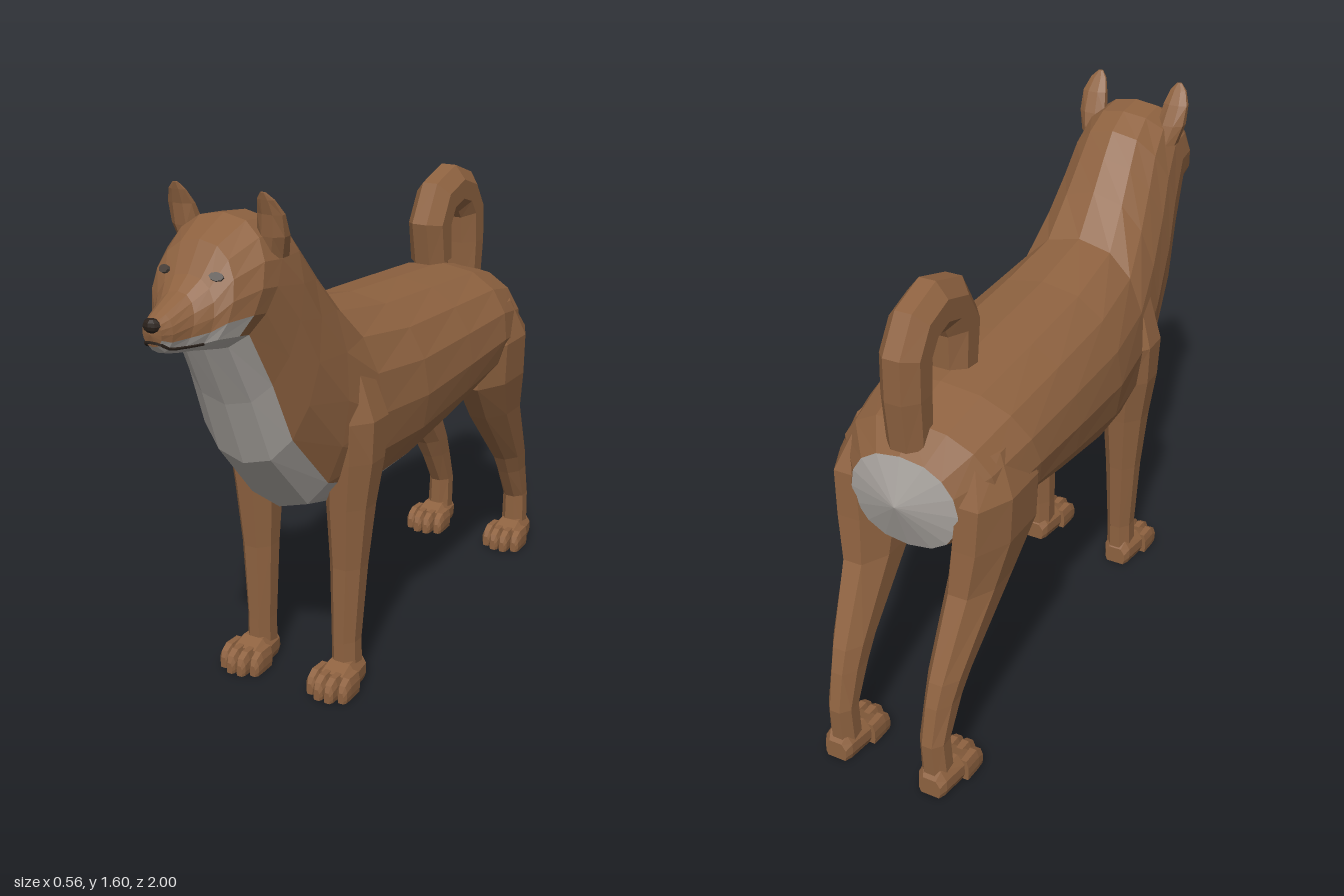
import * as THREE from 'three';

const mat = (name, color, opts = {}) => {
  const m = new THREE.MeshStandardMaterial({ color, flatShading: true, ...opts });
  m.name = name;
  return m;
};
const V = (x, y, z) => new THREE.Vector3(x, y, z);

// Skin a list of equal-length rings; pick(i, j) gives the material index of each quad,
// caps are [centre, material index] for the first and last ring.
function loft(name, rings, mats, pick = () => 0, caps = []) {
  const tris = mats.map(() => []);
  const n = rings[0].length, last = rings.length - 1;
  for (let i = 0; i < last; i++) {
    for (let j = 0; j < n; j++) {
      const k = (j + 1) % n, a = rings[i][j], b = rings[i][k], c = rings[i + 1][k], d = rings[i + 1][j];
      tris[pick(i, j)].push([a, b, c], [a, c, d]);
    }
  }
  [0, last].forEach((r, e) => {
    const ring = rings[r];
    const centre = caps[e]?.[0] ?? ring.reduce((s, p) => s.add(p), V(0, 0, 0)).divideScalar(n);
    for (let j = 0; j < n; j++) {
      const a = ring[j], b = ring[(j + 1) % n];
      tris[caps[e]?.[1] ?? 0].push(e ? [a, b, centre] : [b, a, centre]);
    }
  });
  // Turn every face outward, also for mirrored parts
  const o = rings[0][0];
  let volume = 0;
  for (const [a, b, c] of tris.flat()) {
    volume += a.clone().sub(o).dot(b.clone().sub(o).cross(c.clone().sub(o)));
  }
  const geo = new THREE.BufferGeometry(), pos = [];
  tris.forEach((list, m) => {
    const start = pos.length / 3;
    for (const [a, b, c] of list) {
      for (const p of volume < 0 ? [a, c, b] : [a, b, c]) pos.push(p.x, p.y, p.z);
    }
    geo.addGroup(start, pos.length / 3 - start, m);
  });
  geo.setAttribute('position', new THREE.Float32BufferAttribute(pos, 3));
  geo.computeVertexNormals();
  const mesh = new THREE.Mesh(geo, mats.length > 1 ? mats : mats[0]);
  mesh.name = name;
  return mesh;
}

// Horizontal ring used by legs and ears
const flatRing = (side, [y, cx, cz, rx, rz], n = 8) =>
  Array.from({ length: n }, (_, j) => {
    const a = ((j + 0.5) / n) * Math.PI * 2;
    return V(side * (cx + rx * 1.06 * Math.cos(a)), y, cz + rz * 1.06 * Math.sin(a));
  });

// Upright ring with a flat sole, used by paws and toes
const soleRing = (cx, z, w, h) =>
  [[-0.85, 0], [0.85, 0], [1, 0.25], [1, 0.65], [0.6, 1], [-0.6, 1], [-1, 0.65], [-1, 0.25]]
    .map(([u, v]) => V(cx + u * w, 0.002 + v * h, z));

export function createModel() {
  const group = new THREE.Group();
  group.name = 'dog';
  const fur = mat('brown fur', 0x8e6240);
  const pale = mat('pale fur', 0xaaa5a0);
  const dark = mat('dark nose and mouth', 0x2a211b);
  const eyeMat = mat('eye grey', 0x4a423c);

  // Body and head: [top z, top y, bottom z, bottom y, half width] from rump to muzzle
  const sections = [
    [-0.82, 1.0, -0.8, 0.7, 0.17], [-0.76, 1.08, -0.68, 0.68, 0.25],
    [-0.6, 1.12, -0.48, 0.69, 0.28], [-0.3, 1.14, -0.28, 0.64, 0.28],
    [0, 1.16, 0, 0.585, 0.275], [0.25, 1.2, 0.2, 0.55, 0.245],
    [0.35, 1.32, 0.42, 0.6, 0.22], [0.42, 1.41, 0.6, 0.8, 0.2],
    [0.48, 1.48, 0.68, 1.0, 0.185], [0.56, 1.52, 0.77, 1.185, 0.17],
    [0.66, 1.53, 0.8, 1.19, 0.167], [0.77, 1.48, 0.85, 1.2, 0.13],
    [0.825, 1.4, 0.87, 1.205, 0.095], [0.87, 1.365, 0.92, 1.212, 0.065],
    [0.95, 1.33, 0.96, 1.225, 0.045], [0.985, 1.315, 0.98, 1.245, 0.03],
  ];
  const body = sections.map(([tz, ty, bz, by, w]) => Array.from({ length: 16 }, (_, j) => {
    const a = (j / 16) * Math.PI * 2, t = (1 - Math.cos(a)) / 2, s = Math.sin(a);
    return V(w * Math.sign(s) * Math.abs(s) ** 0.85, ty + (by - ty) * t, tz + (bz - tz) * t);
  }));
  const bodyColour = (i, j) => {
    const fromBottom = Math.abs(j - 7.5);
    const reach = i >= 10 ? 3 : i >= 2 ? 2 : 1;
    return fromBottom < reach ? 1 : 0;
  };
  group.add(loft('bodyAndHead', body, [fur, pale], bodyColour, [[V(0, 0.86, -0.86), 1], [V(0, 1.28, 0.99), 0]]));

  // Curled tail: [z, y, radius in the curl plane]
  const tailPath = [
    [-0.765, 1.02, 0.06], [-0.77, 1.17, 0.07], [-0.765, 1.28, 0.075], [-0.72, 1.345, 0.078],
    [-0.645, 1.37, 0.08], [-0.56, 1.345, 0.08], [-0.517, 1.27, 0.08], [-0.53, 1.15, 0.066],
  ];
  const tail = tailPath.map(([z, y, r], i) => {
    const p = tailPath[Math.max(i - 1, 0)], q = tailPath[Math.min(i + 1, tailPath.length - 1)];
    const len = Math.hypot(q[0] - p[0], q[1] - p[1]);
    const nz = -(q[1] - p[1]) / len, ny = (q[0] - p[0]) / len;
    return Array.from({ length: 8 }, (_, j) => {
      const a = ((j + 0.5) / 8) * Math.PI * 2, s = Math.sin(a) * r * 1.06;
      return V(Math.cos(a) * Math.min(r, 0.064) * 1.06, y + ny * s, z + nz * s);
    });
  });
  group.add(loft('tail', tail, [fur]));

  // Legs and ears: [y, centre x, centre z, half width, half depth]
  const frontLeg = [
    [0.04, 0.157, 0.292, 0.043, 0.05], [0.15, 0.155, 0.292, 0.042, 0.05],
    [0.4, 0.16, 0.285, 0.054, 0.06], [0.6, 0.165, 0.282, 0.07, 0.078],
    [0.75, 0.175, 0.278, 0.083, 0.093], [0.88, 0.185, 0.275, 0.08, 0.105], [1.05, 0.15, 0.29, 0.06, 0.08],
  ];
  const hindLeg = [
    [0.04, 0.157, -0.945, 0.043, 0.045], [0.18, 0.155, -0.95, 0.04, 0.048],
    [0.3, 0.157, -0.9, 0.045, 0.07], [0.37, 0.16, -0.865, 0.052, 0.08],
    [0.6, 0.172, -0.7, 0.075, 0.135], [0.74, 0.185, -0.635, 0.09, 0.185],
    [0.88, 0.195, -0.63, 0.085, 0.18], [1.0, 0.16, -0.63, 0.07, 0.12],
  ];
  const ear = [
    [1.42, 0.125, 0.615, 0.04, 0.04], [1.48, 0.138, 0.632, 0.044, 0.034],
    [1.54, 0.143, 0.65, 0.04, 0.02], [1.58, 0.141, 0.67, 0.026, 0.01], [1.6, 0.139, 0.68, 0.008, 0.004],
  ];

  for (const side of [1, -1]) {
    const word = side > 0 ? 'left' : 'right';
    const add = (name, rings) => group.add(loft(word + name, rings.map((r) => flatRing(side, r)), [fur]));
    add('FrontLeg', frontLeg);
    add('HindLeg', hindLeg);
    add('Ear', ear);

    // Paws with four toes each
    for (const [name, heel] of [['FrontPaw', 0.24], ['HindPaw', -1]]) {
      const paw = new THREE.Group();
      paw.name = word + name;
      const cx = side * 0.16;
      paw.add(loft('pad', [[0, 0.035, 0.06], [0.02, 0.046, 0.085], [0.1, 0.058, 0.085], [0.15, 0.062, 0.065]]
        .map(([z, w, h]) => soleRing(cx, heel + z, w, h)), [fur]));
      for (let t = 0; t < 4; t++) {
        const off = t - 1.5, reach = Math.abs(off) < 1 ? 0.21 : 0.19;
        paw.add(loft('toe', [[0.1, 0.015, 0.07], [reach - 0.035, 0.018, 0.07], [reach - 0.01, 0.017, 0.055], [reach, 0.01, 0.035]]
          .map(([z, w, h]) => soleRing(cx + off * 0.037, heel + z, w, h)), [fur]));
      }
      group.add(paw);
    }

    // Eye plate laid on the brow between two head rings
    const at = (i, j) => body[i][side > 0 ? j : 16 - j];
    const normal = at(12, 2).clone().sub(at(11, 2)).cross(at(11, 3).clone().sub(at(11, 1)));
    if (normal.z < 0) normal.negate();
    normal.normalize();
    const eye = new THREE.Mesh(new THREE.CylinderGeometry(0.02, 0.02, 0.008, 8).rotateX(Math.PI / 2).scale(1, 0.6, 1), eyeMat);
    eye.name = word + 'Eye';
    eye.position.copy(at(11, 2)).lerp(at(12, 2), 0.6).addScaledVector(normal, 0.004);
    eye.quaternion.setFromUnitVectors(V(0, 0, 1), normal);
    group.add(eye);
  }

  // Mouth line running round the muzzle
  const halfMouth = [12, 13, 14, 15].map((i) => body[i][6]);
  const mirrored = halfMouth.map((p) => V(-p.x, p.y, p.z)).reverse();
  const mouth = new THREE.Mesh(
    new THREE.TubeGeometry(new THREE.CatmullRomCurve3([...halfMouth, ...mirrored]), 24, 0.0045, 5), dark);
  mouth.name = 'mouth';
  group.add(mouth);

  // Nose
  const nose = new THREE.Mesh(new THREE.SphereGeometry(1, 8, 6).scale(0.027, 0.02, 0.018), dark);
  nose.name = 'nose';
  nose.position.set(0, 1.302, 0.982);
  group.add(nose);
  return group;
}
